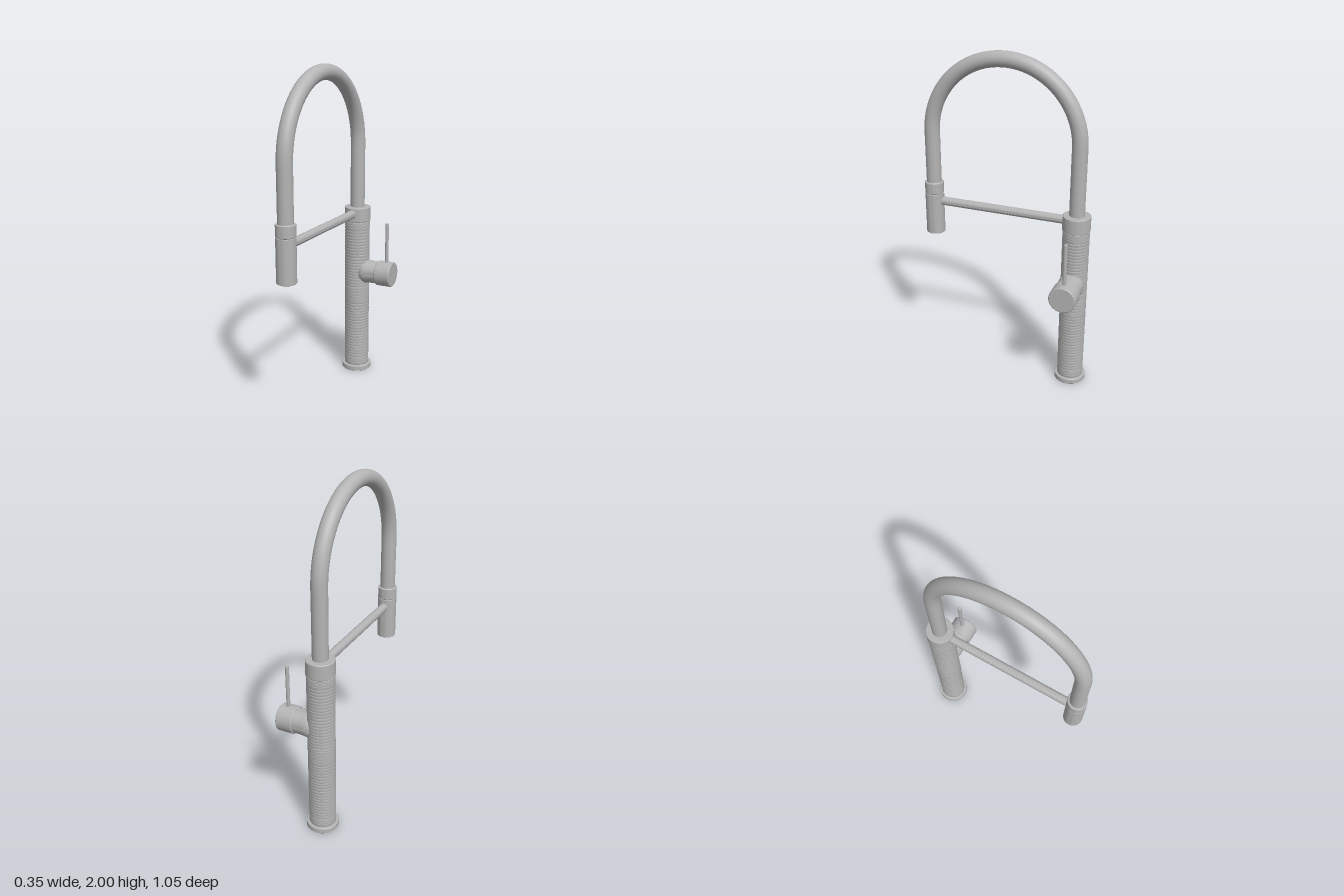
import * as THREE from 'three';
import { toCreasedNormals } from 'three/addons/utils/BufferGeometryUtils.js';

const COLUMN_X = -0.08, COLUMN_Z = -0.43, HEAD_Z = 0.468;

// Turned part from [radius, height] pairs, listed bottom to top
function turned(name, profile, material, segments = 48) {
  const points = profile.map(([r, y]) => new THREE.Vector2(r, y));
  const geometry = toCreasedNormals(new THREE.LatheGeometry(points, segments), 0.6);
  const mesh = new THREE.Mesh(geometry, material);
  mesh.name = name;
  return mesh;
}

// Closed cylinder profile with a small bevel at both ends
function bevelled(r, y0, y1, b = 0.004) {
  return [[0, y0], [r - b, y0], [r, y0 + b], [r, y1 - b], [r - b, y1], [0, y1]];
}

// Finely ribbed cylinder profile
function ribbed(r, y0, y1, ribs, depth) {
  const profile = [];
  const pitch = (y1 - y0) / ribs;
  for (let i = 0; i < ribs; i++) {
    const y = y0 + i * pitch;
    profile.push([r - depth, y], [r, y + pitch * 0.2], [r, y + pitch * 0.8]);
  }
  profile.push([r - depth, y1]);
  return profile;
}

export function createModel() {
  const model = new THREE.Group();
  model.name = 'kitchenTap';
  const metal = new THREE.MeshStandardMaterial({ color: 0xb4b4b4 });
  metal.name = 'brushed metal';

  // Upright column: foot, ribbed body, collar
  const column = new THREE.Group();
  column.name = 'column';
  column.position.set(COLUMN_X, 0, COLUMN_Z);
  column.add(
    turned('foot', bevelled(0.095, 0, 0.035), metal),
    turned('ribbedBody', ribbed(0.079, 0.035, 1.015, 50, 0.0015), metal),
    turned('collar', bevelled(0.082, 1.013, 1.105), metal)
  );
  model.add(column);

  // Arched hose: straight leg, half circle, straight leg
  const radius = (HEAD_Z - COLUMN_Z) / 2;
  const midZ = (HEAD_Z + COLUMN_Z) / 2;
  const springY = 1.955 - radius;
  const path = [];
  for (let i = 0; i < 8; i++) {
    path.push(new THREE.Vector3(COLUMN_X, 1.08 + (springY - 1.08) * i / 8, COLUMN_Z));
  }
  for (let i = 0; i <= 24; i++) {
    const a = Math.PI * i / 24;
    path.push(new THREE.Vector3(COLUMN_X, springY + radius * Math.sin(a), midZ - radius * Math.cos(a)));
  }
  for (let i = 1; i <= 6; i++) {
    path.push(new THREE.Vector3(COLUMN_X, springY + (1.17 - springY) * i / 6, HEAD_Z));
  }
  const hose = new THREE.Mesh(
    new THREE.TubeGeometry(new THREE.CatmullRomCurve3(path), 110, 0.045, 28), metal);
  hose.name = 'hose';
  model.add(hose);

  // Spray head with a cap ring above
  const head = new THREE.Group();
  head.name = 'sprayHead';
  head.position.set(COLUMN_X, 0, HEAD_Z);
  head.add(
    turned('sprayBody', bevelled(0.057, 0.86, 1.117, 0.002), metal),
    turned('sprayCap', bevelled(0.057, 1.117, 1.19), metal)
  );
  model.add(head);

  // Ribbed bar joining the column to the spray head
  const bar = turned('supportBar', ribbed(0.026, 0, 0.8, 40, 0.001), metal, 28);
  bar.rotation.x = Math.PI / 2;
  bar.position.set(COLUMN_X, 1.067, -0.37);
  model.add(bar);

  // Mixer handle pointing to the left side
  const handle = new THREE.Group();
  handle.name = 'mixerHandle';
  handle.position.set(0, 0.68, COLUMN_Z);
  const neck = turned('handleNeck', [
    [0, -0.05], [0.06, -0.05], [0.072, -0.035], [0.077, -0.015],
    [0.075, 0.005], [0.072, 0.03], [0.072, 0.075], [0, 0.075]
  ], metal);
  const knob = turned('handleKnob', bevelled(0.08, 0.07, 0.172, 0.005), metal);
  neck.rotation.z = knob.rotation.z = -Math.PI / 2;
  const lever = turned('lever', bevelled(0.011, 0.07, 0.332, 0.002), metal, 20);
  lever.position.x = 0.127;
  handle.add(neck, knob, lever);
  model.add(handle);

  return model;
}
